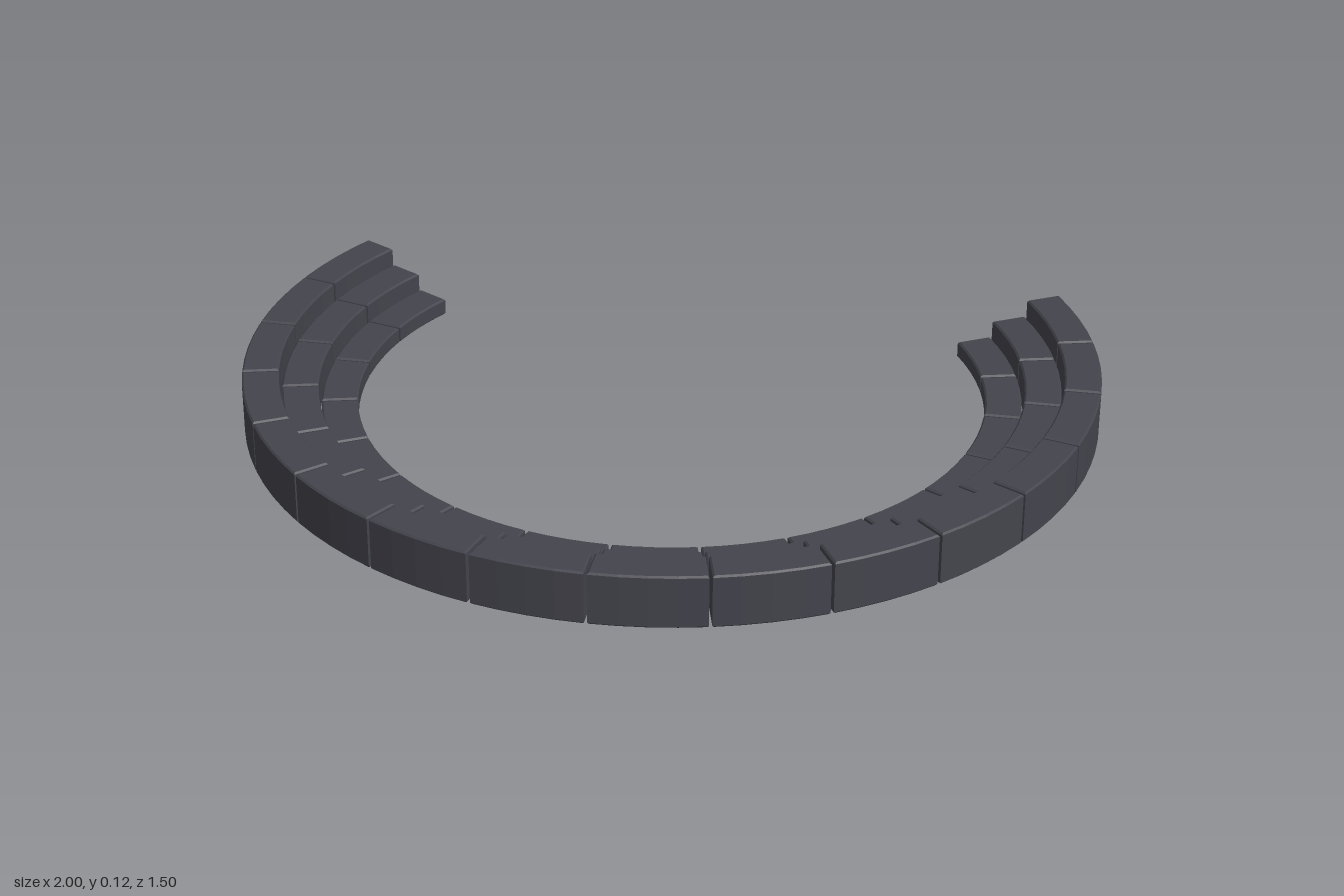
import * as THREE from 'three';

const SEGMENTS = 16;                       // blocks per row
const STEP = THREE.MathUtils.degToRad(15); // angle of one block
const START = THREE.MathUtils.degToRad(-210);
const GAP = 0.0035;                        // half the joint between blocks
const BEVEL = 0.004;

// One curved block, lying flat with its base on y = 0
function blockGeometry(inner, outer, height) {
  const shape = new THREE.Shape();
  const trimOut = GAP / outer, trimIn = GAP / inner;
  shape.absarc(0, 0, outer, trimOut, STEP - trimOut, false);
  shape.absarc(0, 0, inner, STEP - trimIn, trimIn, true);
  const geometry = new THREE.ExtrudeGeometry(shape, {
    depth: height - 2 * BEVEL,
    curveSegments: 2,
    bevelEnabled: true,
    bevelSize: BEVEL,
    bevelOffset: -BEVEL,
    bevelThickness: BEVEL,
    bevelSegments: 1,
  });
  geometry.translate(0, 0, BEVEL);
  geometry.rotateX(-Math.PI / 2);
  return geometry;
}

export function createModel() {
  const model = new THREE.Group();
  model.name = 'steppedSeating';
  const stone = new THREE.MeshStandardMaterial({ color: 0x44444d });
  stone.name = 'darkStone';

  // Three concentric rows, rising outwards
  const rows = [
    { name: 'lowerRow', inner: 0.735, outer: 0.82, height: 0.042 },
    { name: 'middleRow', inner: 0.825, outer: 0.91, height: 0.083 },
    { name: 'upperRow', inner: 0.915, outer: 1.0, height: 0.125 },
  ];
  for (const { name, inner, outer, height } of rows) {
    const row = new THREE.Group();
    row.name = name;
    const geometry = blockGeometry(inner, outer, height);
    for (let i = 0; i < SEGMENTS; i++) {
      const block = new THREE.Mesh(geometry, stone);
      block.name = `${name}Block${i + 1}`;
      block.rotation.y = START + i * STEP;
      row.add(block);
    }
    model.add(row);
  }

  // Centre the horseshoe front to back
  model.children.forEach((row) => { row.position.z = -0.253; });
  return model;
}
